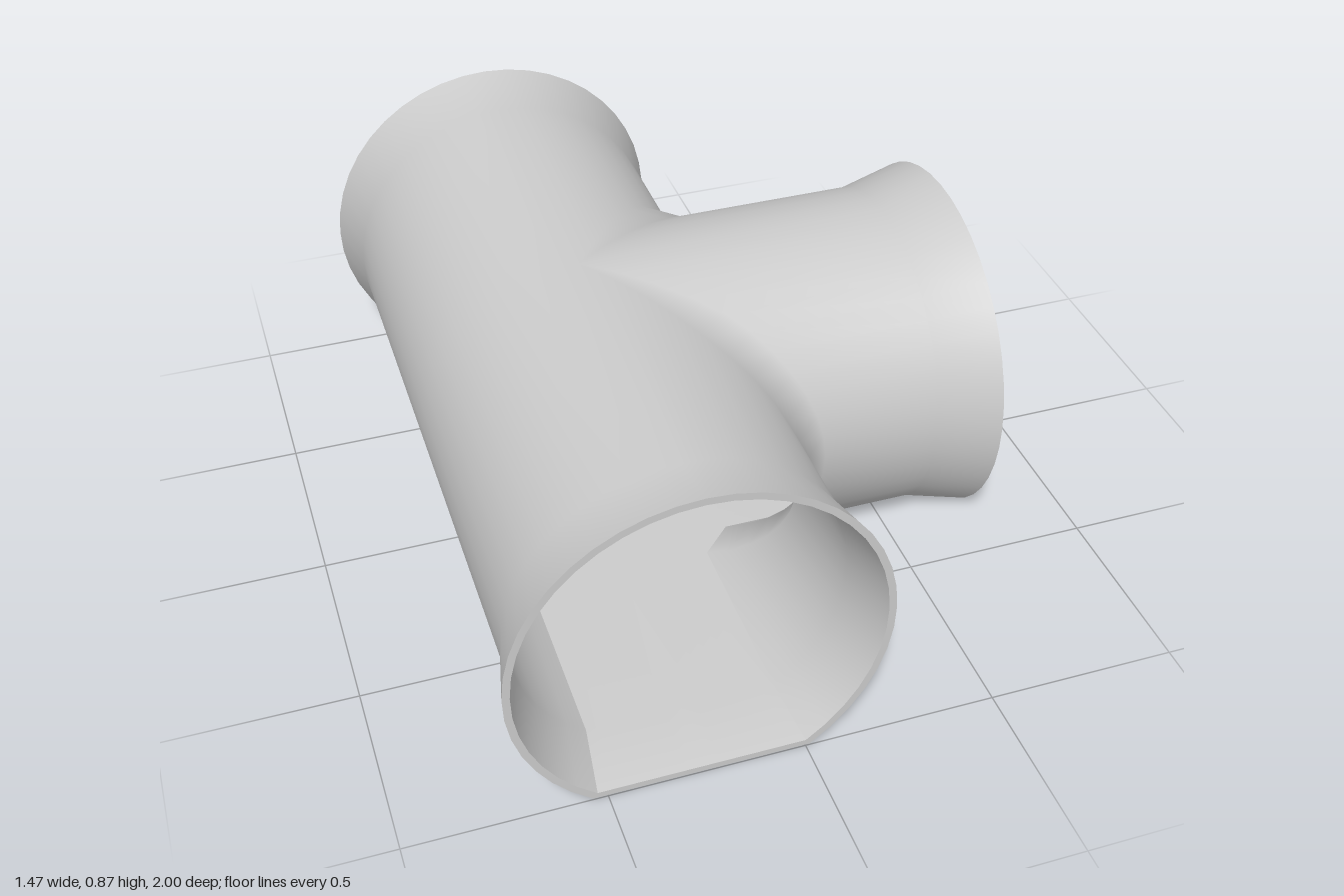
import * as THREE from 'three';
import { mergeVertices } from 'three/addons/utils/BufferGeometryUtils.js';

const CX = -0.263, CY = 0.395;        // axis of the main tube
const R = 0.436, FLOOR = -0.356;      // tube radius, floor level below the axis
const WALL = 0.96;                    // inner skin as a fraction of the outer
const ARC_STEPS = 18, FLOOR_STEPS = 6;
const MAIN_FLARE = 1.088, BRANCH_FLARE = 1.098;
const CHAMFER = 0.085;

// Half cross-section as [sideways, height] pairs, from the crown to the floor edge
function arcProfile(scale) {
  const end = Math.asin(FLOOR / R), pts = [];
  for (let i = 0; i <= ARC_STEPS; i++) {
    const a = Math.PI / 2 + (end - Math.PI / 2) * i / ARC_STEPS;
    pts.push([i ? R * Math.cos(a) * scale : 0, R * Math.sin(a) * scale]);
  }
  return pts;
}

// Flat part of the half cross-section, from the floor edge to the middle
function floorProfile(scale) {
  const half = Math.sqrt(R * R - FLOOR * FLOOR), pts = [];
  for (let i = 0; i <= FLOOR_STEPS; i++) {
    pts.push([half * scale * (1 - i / FLOOR_STEPS), FLOOR * scale]);
  }
  return pts;
}

// Line from the main mouth round the corner to the branch mouth
function cornerPath([s, h]) {
  const f = CHAMFER * Math.min(1, s / 0.25);
  return [
    [CX + s * MAIN_FLARE, CY + h * MAIN_FLARE, 1],
    [CX + s, CY + h, 0.83],
    [CX + s, CY + h, s + f],
    [CX + s + f, CY + h, s],
    [0.57, CY + h, s],
    [0.737, CY + h * BRANCH_FLARE, s * BRANCH_FLARE],
  ];
}

// Line along the closed side of the main tube, from the mouth to the middle
function backPath([s, h]) {
  return [
    [CX - s * MAIN_FLARE, CY + h * MAIN_FLARE, 1],
    [CX - s, CY + h, 0.83],
    [CX - s, CY + h, 0],
  ];
}

// Adds the quads between neighbouring lines, and their mirror image across z = 0
function addStrips(out, lines, flip) {
  for (const mirror of [false, true]) {
    const put = (p) => out.push(p[0], p[1], mirror ? -p[2] : p[2]);
    for (let i = 0; i + 1 < lines.length; i++) {
      for (let j = 0; j + 1 < lines[i].length; j++) {
        const a = lines[i][j], b = lines[i + 1][j];
        const c = lines[i + 1][j + 1], d = lines[i][j + 1];
        const order = flip !== mirror ? [a, d, c, a, c, b] : [a, b, c, a, c, d];
        order.forEach(put);
      }
    }
  }
}

function makeMesh(name, positions, material) {
  let g = new THREE.BufferGeometry();
  g.setAttribute('position', new THREE.Float32BufferAttribute(positions, 3));
  g = mergeVertices(g, 1e-4);
  g.computeVertexNormals();
  const mesh = new THREE.Mesh(g, material);
  mesh.name = name;
  return mesh;
}

function skin(name, profile, inside, material) {
  const out = [];
  addStrips(out, profile.map(cornerPath), inside);
  addStrips(out, profile.map(backPath), !inside);
  return makeMesh(name, out, material);
}

// Narrow faces closing the wall thickness at the open ends
function rim(name, outer, inner, material) {
  const out = [];
  const between = (path, at) => outer.map((p, i) => [path(p)[at], path(inner[i])[at]]);
  addStrips(out, between(cornerPath, 0), true);
  addStrips(out, between(cornerPath, 5), false);
  addStrips(out, between(backPath, 0), false);
  return makeMesh(name, out, material);
}

export function createModel() {
  const group = new THREE.Group();
  group.name = 'teeTunnel';
  const material = new THREE.MeshStandardMaterial({ color: 0xcccccc });
  const arcs = [arcProfile(1), arcProfile(WALL)];
  const floors = [floorProfile(1), floorProfile(WALL)];
  group.add(
    skin('outerWall', arcs[0], false, material),
    skin('innerWall', arcs[1], true, material),
    skin('underside', floors[0], false, material),
    skin('innerFloor', floors[1], true, material),
    rim('wallRims', arcs[0], arcs[1], material),
    rim('floorRims', floors[0], floors[1], material),
  );
  return group;
}
